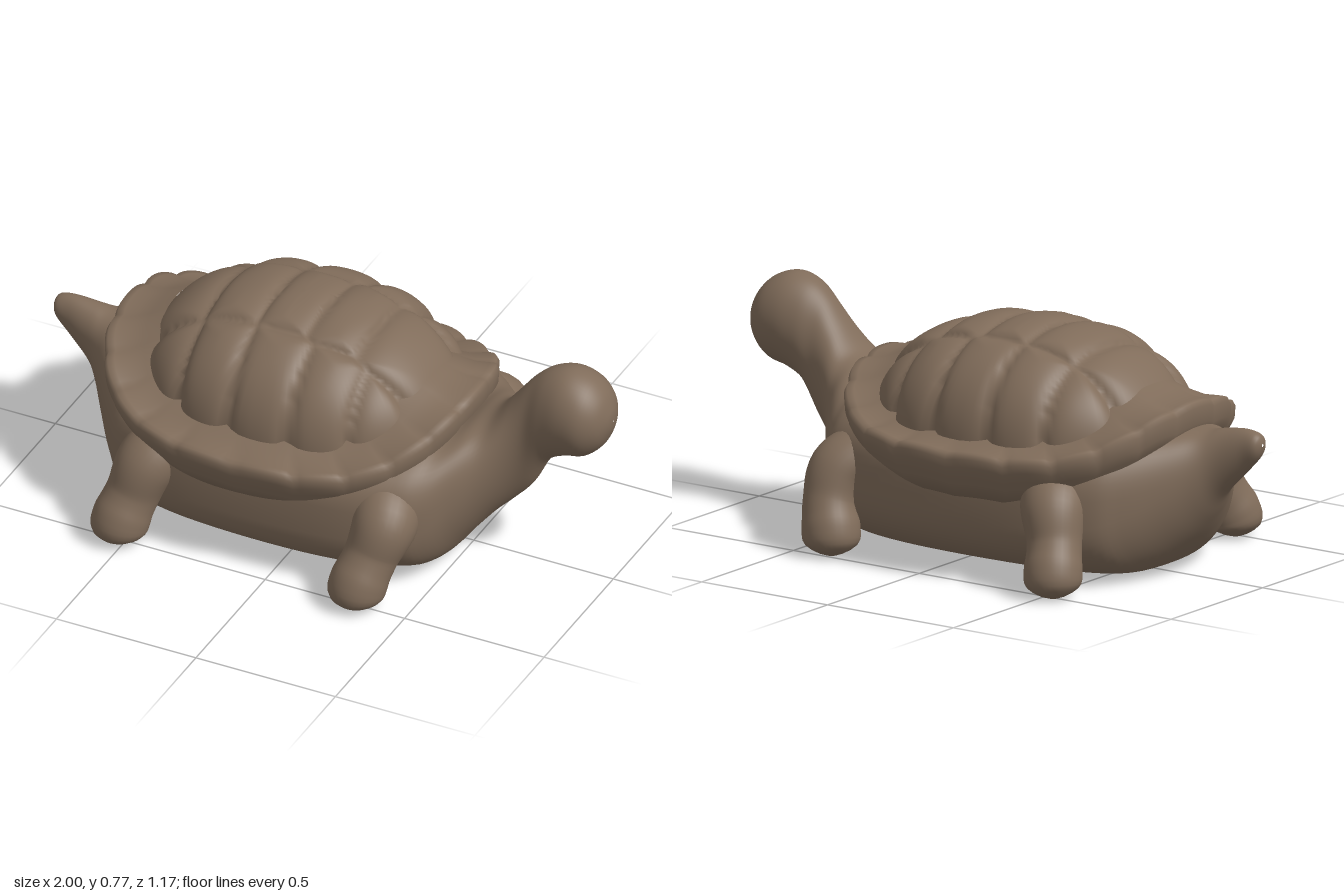
import * as THREE from 'three';

const skin = new THREE.MeshStandardMaterial({ color: 0x806c5a });
skin.name = 'clay brown';

// Skin a grid of points: point(i, a) gives ring i at angle a (rings are closed)
function skinRings(name, rings, sides, point) {
  const pos = [], index = [];
  for (let i = 0; i < rings; i++) {
    for (let j = 0; j < sides; j++) {
      pos.push(...point(i, (j / sides) * Math.PI * 2));
      if (i === rings - 1) continue;
      const k = (j + 1) % sides;
      const a = i * sides + j, b = a + sides, c = b - j + k, d = i * sides + k;
      index.push(a, b, c, a, c, d);
    }
  }
  const geo = new THREE.BufferGeometry();
  geo.setAttribute('position', new THREE.Float32BufferAttribute(pos, 3));
  geo.setIndex(index);
  geo.computeVertexNormals();
  const mesh = new THREE.Mesh(geo, skin);
  mesh.name = name;
  return mesh;
}

// Signed power, for superellipses
const spow = (v, e) => Math.sign(v) * Math.pow(Math.abs(v), e);

// Smooth interpolation through table rows, keyed by row index
function sampleRows(rows, t) {
  const i = Math.min(Math.floor(t), rows.length - 2), f = t - i;
  const row = (k) => rows[Math.max(0, Math.min(rows.length - 1, k))];
  return rows[0].map((_, c) => {
    const [p0, p1, p2, p3] = [row(i - 1)[c], row(i)[c], row(i + 1)[c], row(i + 2)[c]];
    const m1 = (p2 - p0) / 2, m2 = (p3 - p1) / 2, d = p1 - p2;
    return p1 + m1 * f + (-3 * d - 2 * m1 - m2) * f * f + (2 * d + m1 + m2) * f * f * f;
  });
}

// Tail, belly, neck and head as one loft along x
function makeBody() {
  // x, bottom, top, half width, squareness
  const rows = [
    [-1, 0.47, 0.48, 0.004, 2], [-0.985, 0.43, 0.51, 0.035, 2], [-0.93, 0.37, 0.52, 0.05, 2],
    [-0.85, 0.29, 0.51, 0.08, 2], [-0.8, 0.21, 0.5, 0.125, 2], [-0.74, 0.13, 0.5, 0.205, 2.2],
    [-0.66, 0.05, 0.5, 0.31, 2.5], [-0.58, 0.014, 0.5, 0.385, 2.8], [-0.4, 0.01, 0.5, 0.445, 3.1],
    [-0.1, 0.01, 0.5, 0.467, 3.2], [0.2, 0.01, 0.5, 0.455, 3.1], [0.4, 0.012, 0.5, 0.405, 2.8],
    [0.48, 0.03, 0.5, 0.35, 2.5], [0.54, 0.1, 0.53, 0.27, 2.2], [0.6, 0.17, 0.56, 0.19, 2],
    [0.66, 0.23, 0.63, 0.135, 2], [0.72, 0.3, 0.705, 0.11, 2], [0.78, 0.41, 0.755, 0.118, 2],
    [0.85, 0.455, 0.775, 0.13, 2], [0.92, 0.475, 0.755, 0.125, 2], [0.97, 0.52, 0.71, 0.09, 2],
    [0.995, 0.575, 0.655, 0.04, 2], [1, 0.612, 0.618, 0.003, 2],
  ];
  const steps = 5, count = (rows.length - 1) * steps + 1;
  return skinRings('bodyNeckAndHead', count, 64, (i, a) => {
    const [x, lo, hi, half, n] = sampleRows(rows, i / steps);
    const up = spow(Math.sin(a), 2 / n);
    return [x, (lo + hi) / 2 + ((hi - lo) / 2) * up, half * spow(Math.cos(a), 2 / n)];
  });
}

// Domed shell with soft grooves between three rows of scutes
function makeDome() {
  const centres = [];
  for (const x of [-0.51, -0.31, -0.1, 0.07, 0.27]) centres.push([x, 0]);
  for (const x of [-0.5, -0.31, -0.09, 0.13, 0.31]) centres.push([x, 0.37], [x, -0.37]);
  const rings = 52, base = 0.42;
  return skinRings('shellDome', rings, 144, (i, a) => {
    const phi = (i / (rings - 1)) * Math.PI / 2;
    const r = Math.pow(Math.sin(phi), 0.92);
    const h = 0.357 * Math.pow(Math.max(0, Math.cos(phi)), 0.9);
    const x = 0.532 * r * spow(Math.cos(a), 0.84), z = -0.418 * r * spow(Math.sin(a), 0.84);
    const d = centres.map(([cx, cz]) => Math.hypot(x - 0.11 - cx, z - cz)).sort((p, q) => p - q);
    const s = 1 - 0.07 * Math.exp(-(d[1] - d[0]) / 0.05);
    return [-0.11 + x * s, base + h * s, -0.015 + z * s];
  });
}

// Flared shell rim, lifted at both ends, gently scalloped, with a sloping underside
function makeRim() {
  const profile = [[0.72, 0.47], [0.8, 0.45], [0.88, 0.434], [0.95, 0.432], [0.985, 0.43],
    [1, 0.412], [0.995, 0.385], [0.968, 0.352], [0.94, 0.325], [0.89, 0.275], [0.72, 0.3]];
  return skinRings('shellRim', profile.length, 176, (i, a) => {
    const [s, y] = profile[i];
    const c = Math.cos(a), outer = Math.max(0, (s - 0.8) / 0.2);
    const wave = Math.pow(Math.abs(Math.cos(a * 11)), 0.7) - 0.6;
    const k = s + 0.013 * wave * outer;
    const lift = i < 6 ? 0.148 : 0.12;
    return [
      -0.118 + 0.632 * k * spow(c, 0.84),
      y + lift * Math.pow(Math.abs(c), 4) + 0.014 * wave * outer,
      -0.005 - 0.523 * k * spow(Math.sin(a), 0.84),
    ];
  });
}

// Stubby leg: a rounded tube along a curve, flattened on the ground
function makeLeg(name, points) {
  const curve = new THREE.CatmullRomCurve3(points.map((p) => new THREE.Vector3(...p)));
  const radii = [[0.12], [0.115], [0.108], [0.098], [0.09], [0.09], [0.095], [0.084], [0.003]];
  const count = 33, frames = curve.computeFrenetFrames(count - 1);
  return skinRings(name, count, 32, (i, a) => {
    const t = i / (count - 1);
    const r = sampleRows(radii, t * (radii.length - 1))[0];
    const p = curve.getPointAt(t)
      .addScaledVector(frames.normals[i], r * Math.cos(a))
      .addScaledVector(frames.binormals[i], -r * Math.sin(a));
    return [p.x, Math.max(0.003, p.y), p.z];
  });
}

export function createModel() {
  const group = new THREE.Group();
  group.name = 'turtle';
  group.add(makeBody(), makeDome(), makeRim());

  for (const side of [1, -1]) {
    const label = side > 0 ? 'Left' : 'Right';
    const shift = side > 0 ? 0 : 0.05;
    // the front pair stands slightly uneven
    const out = side > 0 ? 0.49 : 0.465;
    group.add(makeLeg('front' + label + 'Leg', [
      [0.34, 0.3, 0.3 * side], [0.37 + shift / 2, 0.26, 0.385 * side],
      [0.35 + shift, 0.17, 0.435 * side], [0.325 + shift, 0.07, out * side],
      [0.32 + shift, -0.015, (out + 0.005) * side],
    ]));
    group.add(makeLeg('rear' + label + 'Leg', [
      [-0.42, 0.3, 0.32 * side], [-0.465, 0.26, 0.405 * side],
      [-0.5, 0.16, 0.45 * side], [-0.525, 0.065, 0.492 * side],
      [-0.53, -0.015, 0.497 * side],
    ]));
  }
  return group;
}
